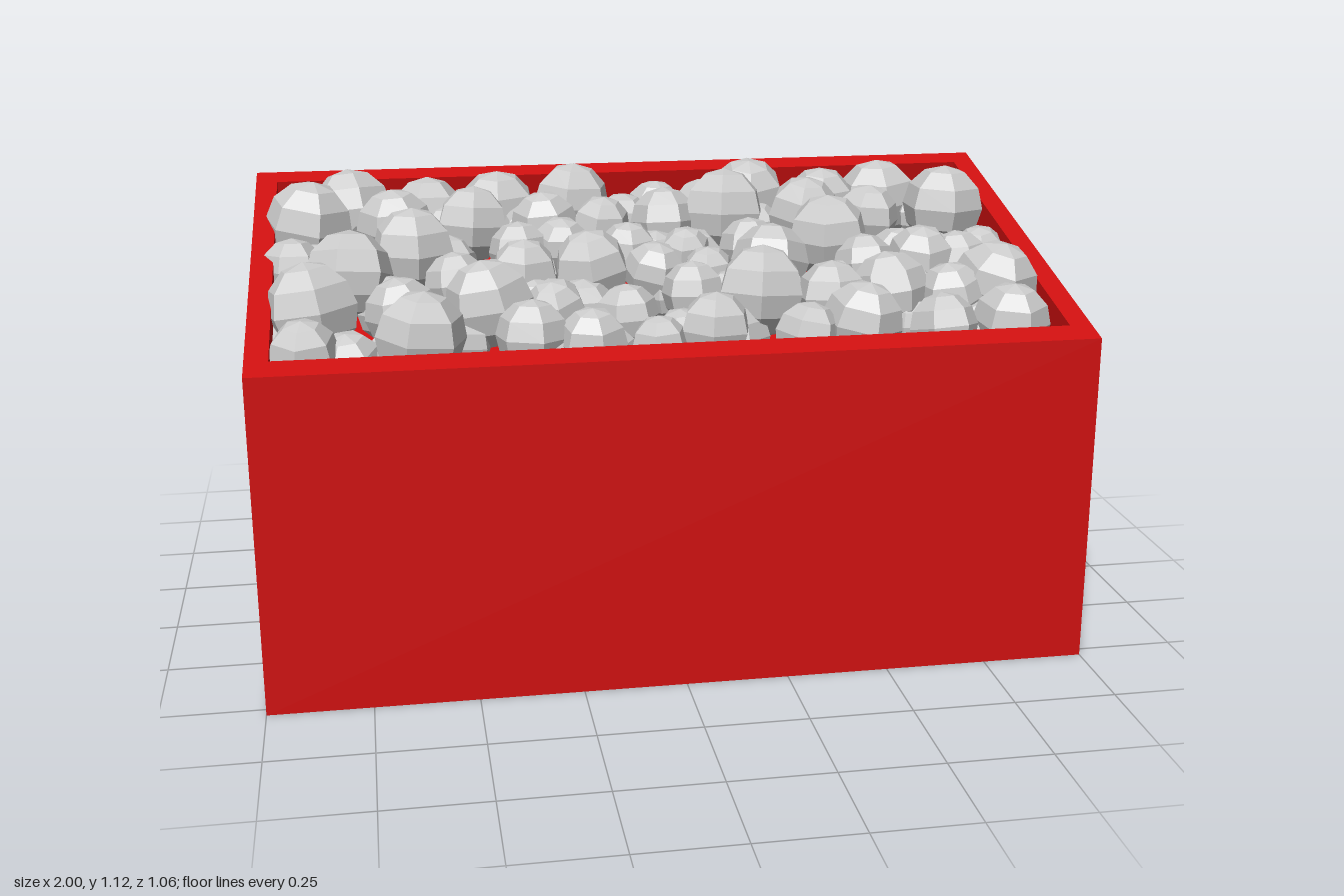
import * as THREE from 'three';

const SLOPE = -0.262;
const rimY = (z) => 0.955 + SLOPE * z;

export function createModel() {
  const model = new THREE.Group();
  const red = new THREE.MeshStandardMaterial({ color: 0xd01010, flatShading: true, side: THREE.DoubleSide });
  const grey = new THREE.MeshStandardMaterial({ color: 0xcccccc, flatShading: true });
  let seed = 7;
  const rand = () => (seed = (seed * 16807) % 2147483647) / 2147483647;

  // Bin: loops of four corners, from the base up the outside and down into the tray
  const loop = (x, zBack, zFront, y) => [[-x, zFront], [x, zFront], [x, zBack], [-x, zBack]].map(([px, z]) => [px, y(z), z]);
  const loops = [
    loop(1, -0.53, 0.53, () => 0),
    loop(1, -0.515, 0.515, rimY),
    loop(0.945, -0.455, 0.45, rimY),
    loop(0.945, -0.495, 0.41, (z) => rimY(z) - 0.165),
  ];
  const points = [];
  const quad = (a, b, c, d) => points.push(...a, ...b, ...c, ...a, ...c, ...d);
  for (let i = 0; i < 3; i++) {
    for (let k = 0; k < 4; k++) {
      const n = (k + 1) % 4;
      quad(loops[i][k], loops[i][n], loops[i + 1][n], loops[i + 1][k]);
    }
  }
  quad(...loops[3]);
  quad(...loops[0].slice().reverse());
  const binGeometry = new THREE.BufferGeometry();
  binGeometry.setAttribute('position', new THREE.Float32BufferAttribute(points, 3));
  binGeometry.computeVertexNormals();
  const bin = new THREE.Mesh(binGeometry, red);
  bin.name = 'bin';
  model.add(bin);

  // Narrow grey strip along the left-hand inner wall
  const strip = new THREE.Mesh(new THREE.BoxGeometry(0.045, 0.06, 0.9), grey);
  strip.name = 'innerStrip';
  strip.position.set(-0.922, rimY(0) - 0.09, -0.012);
  strip.rotation.x = Math.atan(-SLOPE);
  model.add(strip);

  // Faceted stones
  const stones = new THREE.Group();
  stones.name = 'stones';
  model.add(stones);
  const stoneGeometry = new THREE.SphereGeometry(1, 6, 6);
  const addStone = (x, y, z, r) => {
    const stone = new THREE.Mesh(stoneGeometry, grey);
    stone.name = 'stone';
    stone.position.set(x, y, z);
    stone.scale.setScalar(r);
    stone.rotation.set((rand() - 0.5) * 0.4, rand() * Math.PI, (rand() - 0.5) * 0.4);
    stones.add(stone);
  };

  // Top layer, row by row: x, radius and an optional shift in z
  const rows = [
    [-0.39, 0.035, [[-0.75, 0.11], [-0.55, 0.1, 0.02], [-0.16, 0.11], [-0.03, 0.08, 0.07], [0.07, 0.08],
      [0.2, 0.08], [0.33, 0.11], [0.53, 0.1, 0.03], [0.87, 0.06]]],
    [-0.23, 0, [[-0.86, 0.115], [-0.64, 0.1], [-0.44, 0.1], [-0.25, 0.09], [-0.1, 0.08], [0.07, 0.09],
      [0.23, 0.115], [0.45, 0.1], [0.62, 0.09, 0.02], [0.84, 0.11]]],
    [-0.08, 0, [[-0.9, 0.08, 0.03], [-0.6, 0.11], [-0.33, 0.08, -0.02], [-0.22, 0.08, -0.04], [-0.05, 0.08],
      [0.1, 0.07], [0.27, 0.08], [0.48, 0.11], [0.88, 0.07, 0.05]]],
    [0.03, 0, [[-0.76, 0.11], [-0.5, 0.08, 0.02], [-0.33, 0.09], [-0.16, 0.1], [0, 0.08], [0.14, 0.07],
      [0.3, 0.1], [0.55, 0.08], [0.7, 0.09], [0.8, 0.08]]],
    [0.2, 0, [[-0.85, 0.115], [-0.64, 0.09], [-0.43, 0.11], [-0.27, 0.08], [-0.1, 0.08, 0.04], [0.08, 0.08, -0.06],
      [0.24, 0.115], [0.42, 0.09], [0.57, 0.1], [0.72, 0.09, 0.03], [0.84, 0.11]]],
    [0.36, 0, [[-0.87, 0.085], [-0.6, 0.11, -0.02], [-0.34, 0.09, -0.03], [-0.2, 0.085], [-0.04, 0.07],
      [0.1, 0.09, -0.03], [0.32, 0.08], [0.46, 0.1, -0.02], [0.66, 0.085], [0.83, 0.095]]],
  ];
  for (const [z, sink, row] of rows) {
    for (const [x, r, dz = 0] of row) {
      addStone(x, rimY(z + dz) - 0.01 - (0.12 - r) * 0.8 - sink, z + dz, r);
    }
  }

  // Two low stones that just break through the back wall
  for (const x of [-0.36, 0.71]) addStone(x, 0.98, -0.415, 0.115);

  // Lower layer filling the gaps
  for (let i = 0; i < 11; i++) {
    for (let k = 0; k < 4; k++) {
      const x = -0.8 + i * 0.16 + (rand() - 0.5) * 0.08;
      const z = -0.32 + k * 0.2 + (rand() - 0.5) * 0.08;
      addStone(x, rimY(z) - 0.095, z, 0.07 + rand() * 0.02);
    }
  }
  return model;
}
